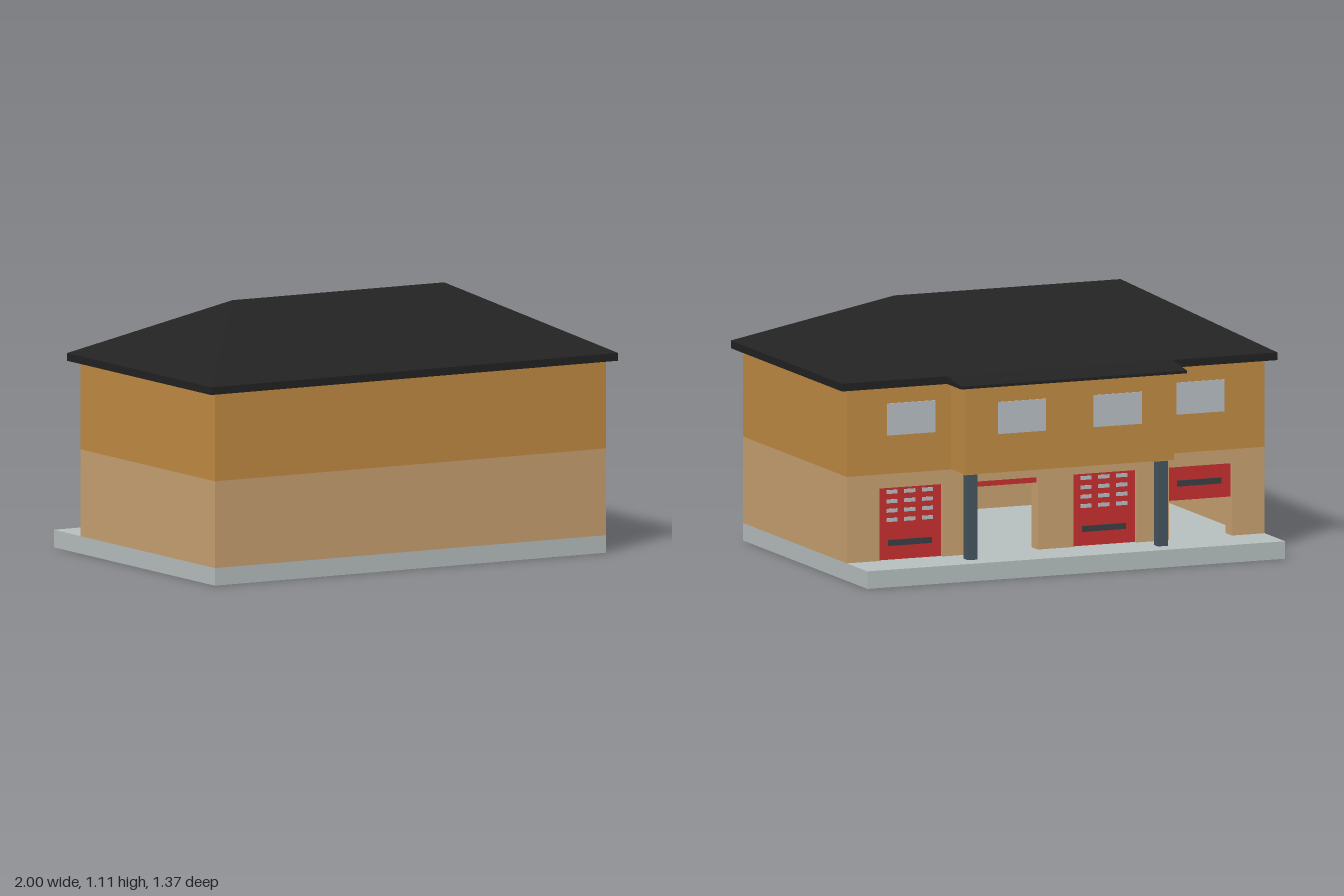
import * as THREE from 'three';

const mat = (name, color) => {
  const m = new THREE.MeshStandardMaterial({ color });
  m.name = name;
  return m;
};

export function createModel() {
  const group = new THREE.Group();
  const concrete = mat('concrete', 0xb7c0bf);
  const tan = mat('tan brick', 0xc9a271);
  const ochre = mat('ochre brick', 0xc28c44);
  const slate = mat('roof black', 0x222222);
  const steel = mat('column steel', 0x44555f);
  const red = mat('door red', 0xc93030);
  const glass = mat('glass', 0xb8c0c4);
  const dark = mat('handle dark', 0x3a4044);

  const add = (name, geo, material, parent = group) => {
    const m = new THREE.Mesh(geo, material);
    m.name = name;
    parent.add(m);
    return m;
  };
  // Box given by its min and max corners
  const box = (name, material, x0, x1, y0, y1, z0, z1, parent) => {
    const g = new THREE.BoxGeometry(x1 - x0, y1 - y0, z1 - z0);
    g.translate((x0 + x1) / 2, (y0 + y1) / 2, (z0 + z1) / 2);
    return add(name, g, material, parent);
  };

  const W = 0.96, BACK = -0.46, FRONT = 0.65, T = 0.07;
  const FLOOR = 0.075, MID = 0.445, EAVE = 0.82, DOOR_TOP = 0.385;

  // Ground slab with apron
  box('slab', concrete, -W, W, 0, FLOOR, -0.68, FRONT);

  // Front and side walls of both storeys
  for (const [storey, m, y0, y1] of [['lower', tan, FLOOR, MID], ['upper', ochre, MID, EAVE]]) {
    box(storey + 'FrontWall', m, -W, W, y0, y1, FRONT - T, FRONT);
    for (const [side, s] of [['left', 1], ['right', -1]]) {
      const x = s * (W - T / 2);
      box(storey + side + 'Wall', m, x - T / 2, x + T / 2, y0, y1, BACK + T, FRONT - T);
    }
  }
  box('upperBackWall', ochre, -W, W, MID, EAVE, BACK, BACK + T);

  // Lower back wall: one outline that steps around four door openings
  const bays = [-0.665, -0.227, 0.227, 0.665], half = 0.145;
  const outline = new THREE.Shape();
  outline.moveTo(-W, FLOOR);
  for (const x of bays) {
    outline.lineTo(x - half, FLOOR);
    outline.lineTo(x - half, DOOR_TOP);
    outline.lineTo(x + half, DOOR_TOP);
    outline.lineTo(x + half, FLOOR);
  }
  outline.lineTo(W, FLOOR);
  outline.lineTo(W, MID);
  outline.lineTo(-W, MID);
  const backWall = new THREE.ExtrudeGeometry(outline, { depth: T, bevelEnabled: false });
  backWall.translate(0, 0, BACK);
  add('lowerBackWall', backWall, tan);

  // Roller doors, each raised by a different amount
  const lifts = [0.165, 0, 0.285, 0];
  bays.forEach((x, i) => {
    const door = new THREE.Group();
    door.name = 'garageDoor' + (i + 1);
    group.add(door);
    const bottom = FLOOR + lifts[i], z = BACK + 0.015;
    box('doorPanel', red, x - half, x + half, bottom, DOOR_TOP, z, z + 0.02, door);
    if (bottom + 0.09 < DOOR_TOP) {
      box('doorHandle', dark, x - 0.1, x + 0.1, bottom + 0.06, bottom + 0.085, z - 0.008, z, door);
    }
    for (let r = 0; r < 4; r++) {
      const y = bottom + 0.17 + r * 0.04;
      if (y + 0.01 > DOOR_TOP) break;
      for (const c of [-1, 0, 1]) {
        const cx = x + c * 0.082;
        box('doorPane', glass, cx - 0.025, cx + 0.025, y - 0.008, y + 0.008, z - 0.004, z, door);
      }
    }
  });

  // Projecting upper bay on two columns
  box('bay', ochre, -0.48, 0.48, MID, EAVE, -0.61, BACK);
  box('baySoffit', tan, -0.48, 0.48, MID - 0.002, MID, -0.61, BACK);
  for (const s of [-1, 1]) {
    const cx = s * 0.437;
    box('column', steel, cx - 0.0225, cx + 0.0225, FLOOR, MID, -0.59, -0.545);
    box('bayWindow', glass, s * 0.22 - 0.11, s * 0.22 + 0.11, 0.61, 0.747, -0.614, -0.61);
    box('backWindow', glass, s * 0.665 - 0.11, s * 0.665 + 0.11, 0.61, 0.747, BACK - 0.004, BACK);
  }

  // Hipped roof: eave slab, then a box whose top closes to a ridge
  const Z0 = -0.503, Z1 = 0.685, RIM = 0.853, RIDGE = 1.112;
  box('eaves', slate, -1, 1, EAVE, RIM, Z0, Z1);
  const hip = new THREE.BoxGeometry(2, RIDGE - RIM, Z1 - Z0);
  hip.translate(0, (RIM + RIDGE) / 2, (Z0 + Z1) / 2);
  const p = hip.attributes.position;
  for (let i = 0; i < p.count; i++) {
    if (p.getY(i) > 1) p.setXYZ(i, Math.sign(p.getX(i)) * 0.52, RIDGE, 0.055);
  }
  hip.computeVertexNormals();
  add('hipRoof', hip, slate);

  // Low sloping roof over the bay; side profile drawn as (-z, y)
  const profile = new THREE.Shape([
    [0.45, EAVE], [0.657, EAVE], [0.657, 0.832], [0.503, RIM], [0.45, RIM],
  ].map(([a, b]) => new THREE.Vector2(a, b)));
  const bayRoof = new THREE.ExtrudeGeometry(profile, { depth: 1.036, bevelEnabled: false });
  bayRoof.translate(0, 0, -0.518);
  bayRoof.rotateY(Math.PI / 2);
  add('bayRoof', bayRoof, slate);

  return group;
}
